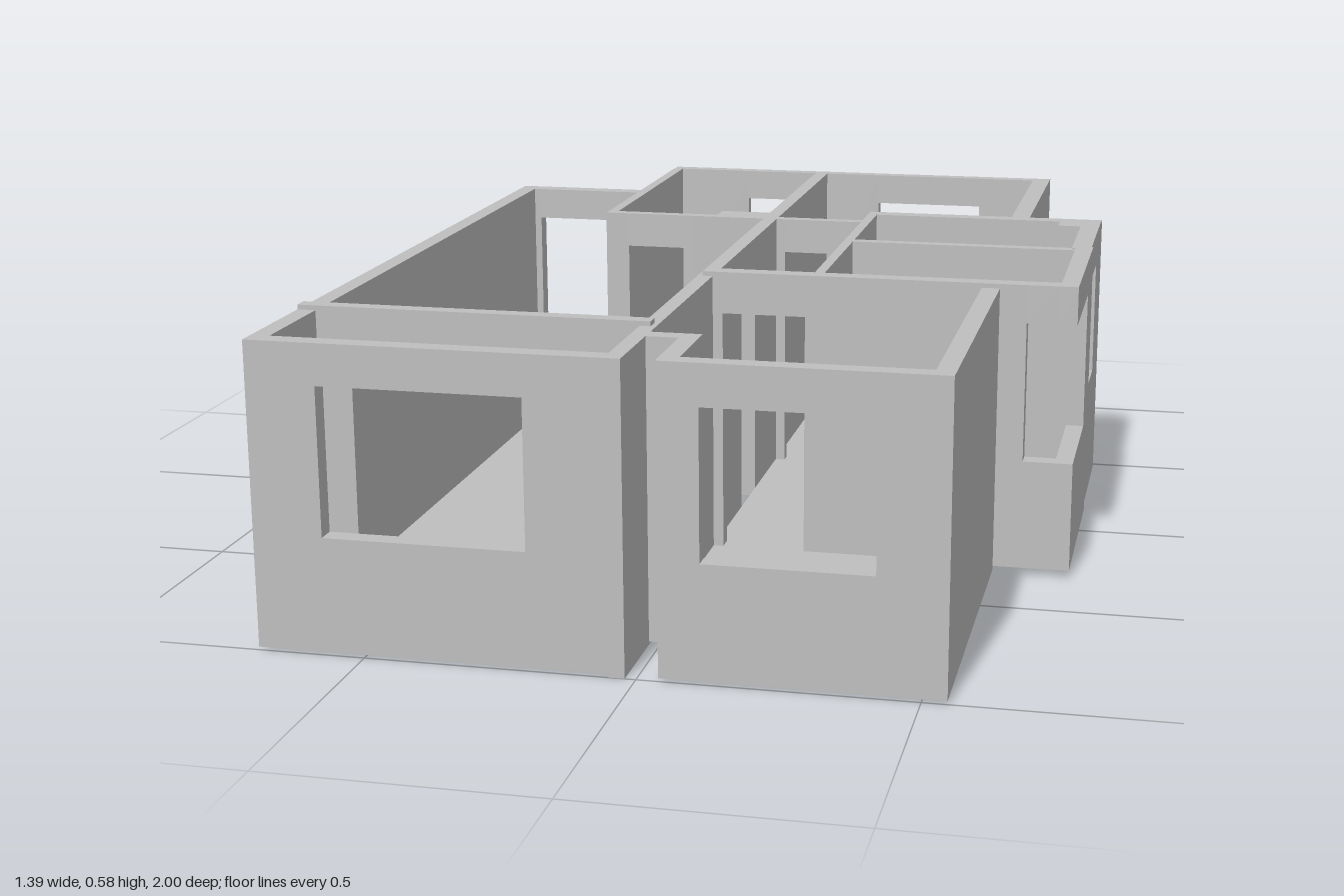
import * as THREE from 'three';

export function createModel() {
  const house = new THREE.Group();
  house.name = 'floorPlanHouse';
  const plaster = new THREE.MeshStandardMaterial({ color: 0xbfbfbf });
  plaster.name = 'plasterGrey';

  function box(parent, name, x0, x1, y0, y1, z0, z1) {
    if (x1 - x0 < 1e-4 || y1 - y0 < 1e-4 || z1 - z0 < 1e-4) return;
    const mesh = new THREE.Mesh(new THREE.BoxGeometry(x1 - x0, y1 - y0, z1 - z0), plaster);
    mesh.position.set((x0 + x1) / 2, (y0 + y1) / 2, (z0 + z1) / 2);
    mesh.name = name;
    parent.add(mesh);
  }

  // A wall over a plan rectangle; openings are [start, end, sill, head] along its long axis
  function wall(name, x0, x1, z0, z1, openings = [], base = 0.006, top = 0.574) {
    const group = new THREE.Group();
    group.name = name;
    const alongX = x1 - x0 > z1 - z0;
    const piece = (part, a, b, y0, y1) => alongX
      ? box(group, part, a, b, y0, y1, z0, z1)
      : box(group, part, x0, x1, y0, y1, a, b);
    let at = alongX ? x0 : z0;
    for (const [a, b, sill, head] of openings) {
      piece('pier', at, a, base, top);
      piece('sill', a, b, base, sill);
      piece('lintel', a, b, head, top);
      at = b;
    }
    piece('pier', at, alongX ? x1 : z1, base, top);
    house.add(group);
  }

  const DOOR = [0, 0.5];
  const FRONT = [0.22, 0.497];
  const BACK = [0.27, 0.505];

  // Living wing
  wall('livingSideWall', -0.7, -0.665, -0.64, 1);
  wall('livingFrontWall', -0.665, -0.05, 0.963, 1, [[-0.57, -0.195, ...FRONT]]);
  wall('livingBackWall', -0.665, -0.41, -0.64, -0.603, [[-0.65, -0.455, 0.06, 0.505]]);
  wall('livingDivider', -0.7, -0.03, 0.725, 0.755, [[-0.6, -0.18, ...DOOR]], 0.006, 0.583);
  wall('spineWall', -0.05, -0.02, -0.33, 1, [[-0.1, 0.04, ...DOOR]], 0);

  // Back rooms
  wall('backOuterWall', -0.41, 0.53, -1, -0.97, [[-0.22, -0.11, ...BACK], [0.11, 0.36, ...BACK]]);
  wall('backRightSideWall', 0.49, 0.53, -0.97, -0.43);
  wall('backLeftSideWall', -0.412, -0.39, -0.97, -0.33);
  wall('backDivider', -0.05, -0.02, -0.97, -0.33, [], 0);
  wall('backInnerWall', -0.39, 0.17, -0.355, -0.33, [[-0.36, -0.21, ...DOOR], [0, 0.15, ...DOOR]]);
  wall('serviceShaft', -0.16, -0.05, -0.405, -0.355);

  // Bathroom
  wall('bathBackWall', 0.17, 0.69, -0.465, -0.43);
  wall('bathSideWall', 0.65, 0.69, -0.43, -0.115, [[-0.305, -0.185, ...BACK]], 0.006, 0.577);
  wall('bathShaft', 0.6, 0.65, -0.43, -0.38);
  wall('bathKitchenDivider', 0.19, 0.69, -0.13, -0.105);

  // Kitchen with a wrap-around corner window
  wall('kitchenSideWall', 0.66, 0.695, -0.105, 0.305, [[0.02, 0.305, 0.232, 0.508]], 0.014, 0.583);
  wall('kitchenFrontWall', -0.04, 0.66, 0.27, 0.305,
    [[0, 0.165, ...DOOR], [0.598, 0.66, 0.232, 0.508]], 0.014, 0.583);
  wall('hallWall', 0.17, 0.19, -0.465, 0.27, [[-0.33, -0.19, ...DOOR], [0.115, 0.262, ...DOOR]]);

  // Front bedroom with the recess beside the spine wall
  wall('bedroomSideWall', 0.51, 0.545, 0.3, 1);
  wall('bedroomFrontWall', 0.04, 0.51, 0.965, 1, [[0.115, 0.42, ...FRONT]]);
  wall('recessSideWall', 0.04, 0.075, 0.795, 0.965);
  wall('recessBackWall', -0.02, 0.04, 0.795, 0.83);

  // Floors, slightly recessed between the wall feet
  const floors = {
    livingFloor: [-0.665, -0.05, -0.33, 0.963],
    livingAlcoveFloor: [-0.665, -0.41, -0.603, -0.33],
    backLeftFloor: [-0.39, -0.05, -0.97, -0.33],
    backRightFloor: [-0.02, 0.49, -0.97, -0.465],
    backEntryFloor: [-0.02, 0.17, -0.465, -0.33],
    hallFloor: [-0.02, 0.17, -0.33, 0.305],
    bathFloor: [0.17, 0.65, -0.43, -0.13],
    kitchenFloor: [0.17, 0.66, -0.105, 0.27],
    bedroomFloor: [-0.02, 0.51, 0.305, 0.795],
    bedroomFrontFloor: [0.075, 0.51, 0.795, 0.965],
  };
  for (const [name, [x0, x1, z0, z1]] of Object.entries(floors)) {
    box(house, name, x0, x1, 0.01, 0.018, z0, z1);
  }
  return house;
}
